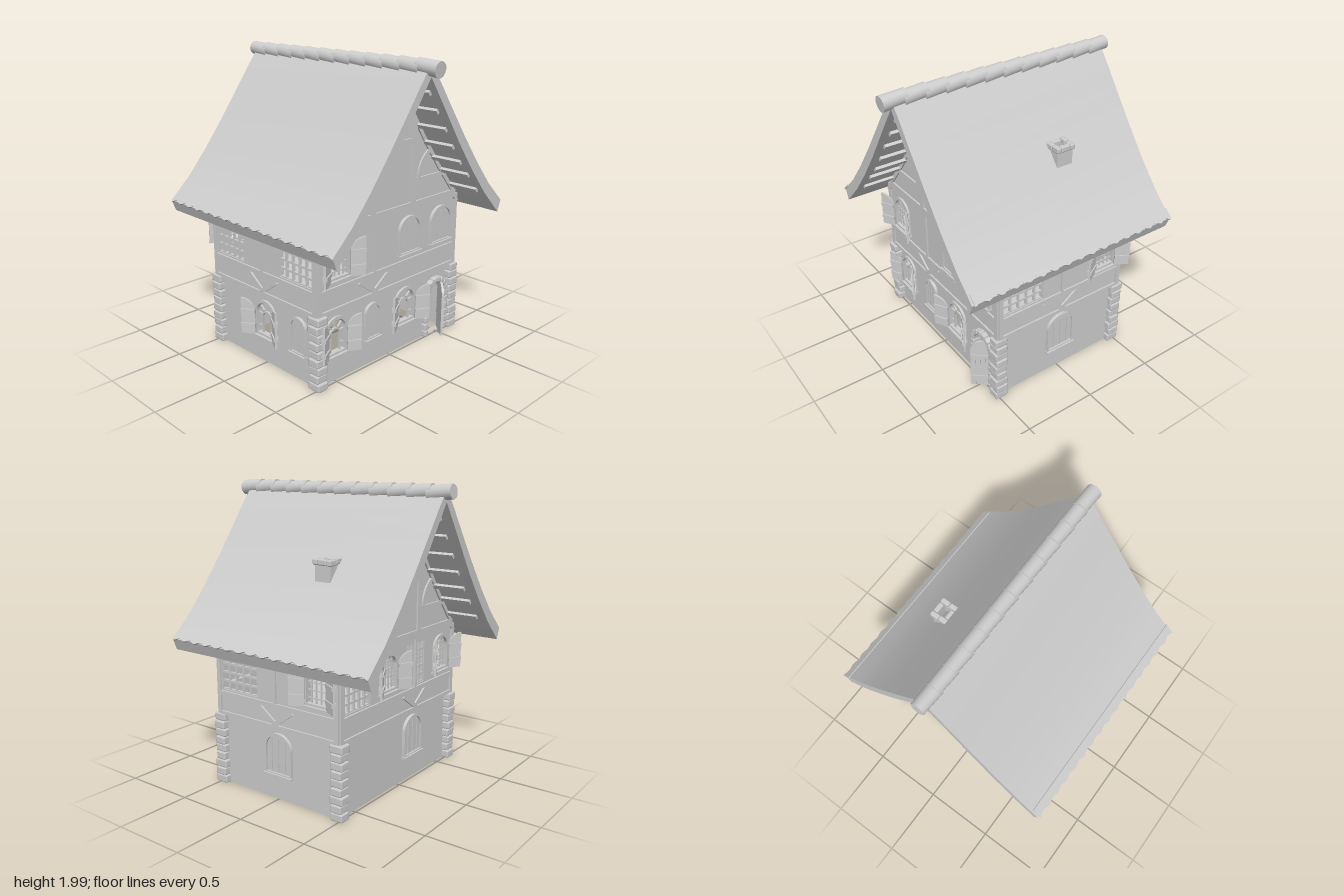
import * as THREE from 'three';
import { toCreasedNormals } from 'three/addons/utils/BufferGeometryUtils.js';
import { RoundedBoxGeometry } from 'three/addons/geometries/RoundedBoxGeometry.js';

const plaster = new THREE.MeshStandardMaterial({ color: 0xcccccc });
plaster.name = 'pale grey';

let seed = 7;
const rnd = () => (seed = (seed * 16807) % 2147483647) / 2147483647;

function add(parent, name, geo, x = 0, y = 0, z = 0) {
  const m = new THREE.Mesh(geo, plaster);
  m.name = name;
  m.position.set(x, y, z);
  parent.add(m);
  return m;
}
function group(parent, name, x = 0, y = 0, z = 0) {
  const g = new THREE.Group();
  g.name = name;
  g.position.set(x, y, z);
  parent.add(g);
  return g;
}
const box = (parent, name, w, h, d, x, y, z) => add(parent, name, new THREE.BoxGeometry(w, h, d), x, y, z);
const stone = (parent, name, w, h, d, x, y, z) =>
  add(parent, name, new RoundedBoxGeometry(w, h, d, 1, 0.01), x, y, z);
const extrude = (shape, depth) => toCreasedNormals(
  new THREE.ExtrudeGeometry(shape, { depth, bevelEnabled: false, curveSegments: 10 }), 0.6);
const poly = pts => new THREE.Shape(pts.map(p => new THREE.Vector2(...p)));
const rect = (x, y, w, h) => poly([[x - w / 2, y], [x + w / 2, y], [x + w / 2, y + h], [x - w / 2, y + h]]);

// Arched outline: bottom centre at (x, y), elliptical top of the given rise
function arch(x, y, w, h, rise = w * 0.45) {
  const s = new THREE.Shape();
  s.moveTo(x - w / 2, y);
  s.lineTo(x + w / 2, y);
  s.lineTo(x + w / 2, y + h - rise);
  s.absellipse(x, y + h - rise, w / 2, rise, 0, Math.PI, false);
  s.closePath();
  return s;
}
function archRing(x, y, w, h, t) {
  const s = arch(x, y, w, h);
  s.holes.push(arch(x, y + t, w - 2 * t, h - 2 * t));
  return s;
}
// Timber laid on a wall between two points
function beam(parent, x1, y1, x2, y2, w = 0.035) {
  const m = box(parent, 'beam', Math.hypot(x2 - x1, y2 - y1), w, 0.02, (x1 + x2) / 2, (y1 + y2) / 2, 0.002);
  m.rotation.z = Math.atan2(y2 - y1, x2 - x1);
}
function wall(parent, outline, holes, name) {
  outline.holes.push(...holes);
  add(parent, name, extrude(outline, 0.04), 0, 0, -0.04);
}

// Closed plank shutters on a sill
function closedWindow(p, x, y, w, h) {
  const g = group(p, 'closedShutters', x, y, 0);
  add(g, 'frame', extrude(archRing(0, 0, w, h, 0.014), 0.03), 0, 0, -0.008);
  add(g, 'planks', extrude(arch(0, 0.01, w - 0.02, h - 0.02), 0.02), 0, 0, -0.01);
  for (const k of [-0.5, 0, 0.5])
    box(g, 'plankJoint', 0.006, h * 0.8, 0.012, k * w * 0.5, h * 0.46, 0.01);
  box(g, 'sill', w + 0.01, 0.012, 0.045, 0, 0, 0.012);
}
// Glazing bars, frame and two swung-out shutters
function openWindow(p, x, y, w, h, grid) {
  const g = group(p, 'openWindow', x, y, 0);
  add(g, 'frame', extrude(archRing(0, 0, w + 0.02, h + 0.01, 0.02), 0.04), 0, 0, -0.025);
  if (grid) {
    for (const k of [-0.3, -0.1, 0.1, 0.3]) box(g, 'bar', 0.008, h * (0.98 - k * k), 0.01, k * w, h * 0.48, -0.01);
    for (const k of [0.2, 0.4, 0.6, 0.8]) box(g, 'bar', w * (k > 0.7 ? 0.72 : 1), 0.008, 0.01, 0, h * k, -0.01);
  } else {
    add(g, 'innerArch', extrude(archRing(0, 0, w * 0.55, h * 0.72, 0.012), 0.014), 0, 0, -0.015);
    for (const a of [0.1, 0.8, 1.57, 2.34, 3.04]) {
      const s = box(g, 'spoke', w * 0.26, 0.01, 0.012, Math.cos(a) * w * 0.38, h * 0.58 + Math.sin(a) * h * 0.25, -0.01);
      s.rotation.z = a;
    }
    for (const s of [-1, 1]) box(g, 'bar', w * 0.24, 0.01, 0.012, s * w * 0.39, h * 0.25, -0.01);
  }
  box(g, 'sill', w + 0.04, 0.014, 0.045, 0, 0, 0.012);
  for (const s of [-1, 1]) {
    const leaf = group(g, 'openShutter', s * w / 2, 0, 0.015);
    leaf.rotation.y = -s * 0.5;
    const lw = w * 0.55;
    const half = new THREE.Shape();
    half.moveTo(0, 0);
    half.lineTo(s * lw, 0);
    half.lineTo(s * lw, h);
    half.quadraticCurveTo(s * lw * 0.25, h * 0.98, 0, h * 0.7);
    add(leaf, 'leaf', extrude(half, 0.014));
    for (const k of [0.25, 0.65]) box(leaf, 'batten', lw, 0.025, 0.03, s * lw / 2, h * k, 0.007);
  }
}
// Square lattice window
function lattice(p, x, y, w, h) {
  const g = group(p, 'lattice', x, y, -0.015);
  for (let i = 0; i <= 5; i++) {
    box(g, 'bar', 0.014, h, 0.016, (i / 5 - 0.5) * w, h / 2, 0);
    box(g, 'bar', w, 0.014, 0.016, 0, i / 5 * h, 0);
  }
}

const GX = 0.645, GZ = 0.48, UX = 0.665, UZ = 0.5;
// Windows per side: c = closed, o = open, l = lattice, in wall coordinates
const SIDES = [
  { name: 'front', turn: 0, w: UX, d: UZ, gw: GX, gd: GZ, post: -0.165,
    low: [['o', -0.49, 0.18, 0.17, 0.25], ['c', -0.165, 0.18, 0.14, 0.25], ['o', 0.16, 0.18, 0.19, 0.25]],
    high: [['o', -0.49, 0.69, 0.18, 0.25], ['c', 0.16, 0.69, 0.21, 0.26], ['c', 0.485, 0.69, 0.22, 0.26]] },
  { name: 'right', turn: Math.PI / 2, w: UZ, d: UX, gw: GZ, gd: GX, post: 0,
    low: [['c', 0.01, 0.17, 0.22, 0.28]],
    high: [['l', -0.31, 0.66, 0.31, 0.29], ['o', 0.34, 0.69, 0.18, 0.25]] },
  { name: 'back', turn: Math.PI, w: UX, d: UZ, gw: GX, gd: GZ, post: 0.165,
    low: [['c', 0.165, 0.17, 0.22, 0.28]],
    high: [['l', -0.48, 0.66, 0.26, 0.29], ['o', -0.16, 0.69, 0.18, 0.25],
      ['l', 0.17, 0.66, 0.22, 0.29], ['o', 0.49, 0.69, 0.18, 0.25]] },
  { name: 'left', turn: -Math.PI / 2, w: UZ, d: UX, gw: GZ, gd: GX, post: 0,
    low: [['o', 0, 0.18, 0.18, 0.25], ['c', 0.32, 0.18, 0.14, 0.25]],
    high: [['l', -0.33, 0.66, 0.28, 0.29], ['l', 0.31, 0.66, 0.3, 0.29]] },
];
const hole = ([k, x, y, w, h]) => (k === 'l' ? rect(x, y, w, h) : arch(x, y, w * 0.97, h * 0.97));
const fit = (p, list) => list.forEach(([k, x, y, w, h]) => {
  if (k === 'c') closedWindow(p, x, y, w, h);
  else if (k === 'o') openWindow(p, x, y, w, h, y > 0.5);
  else lattice(p, x, y, w, h);
});

function gable(p) {
  const half = [[0.665, 0.98], [0.6, 1.09], [0.45, 1.27], [0.3, 1.47], [0.15, 1.69]];
  const mirror = half.map(([x, y]) => [-x, y]).reverse();
  add(p, 'gableWall', extrude(poly([...half, [0, 1.91], ...mirror]), 0.04), 0, 0, -0.04);
  beam(p, -0.64, 1.01, 0.64, 1.01, 0.05);
  beam(p, -0.24, 1.615, 0.24, 1.615, 0.045);
  beam(p, -0.17, 1.45, 0.17, 1.45, 0.022);
  beam(p, 0, 1.63, 0, 1.88, 0.02);
  for (const s of [-1, 1]) {
    beam(p, s * 0.193, 1.02, s * 0.193, 1.62, 0.045);
    beam(p, s * 0.2, 1.175, s * 0.53, 1.175, 0.028);
    const brace = new THREE.Shape();
    brace.absarc(0, 0, 0.2, 0, Math.PI / 2, false);
    brace.absarc(0, 0, 0.175, Math.PI / 2, 0, true);
    const b = add(p, 'curvedBrace', extrude(brace, 0.012), s * 0.43, 1.185, 0);
    if (s > 0) b.rotation.y = Math.PI, b.position.z = 0.012;
    for (let i = 0; i < 4; i++) beam(p, s * half[i][0], half[i][1] - 0.04, s * half[i + 1][0], half[i + 1][1] - 0.04, 0.03);
    beam(p, s * 0.15, 1.65, 0, 1.87, 0.03);
    // Roof battens under the overhang
    for (const [x, y] of [[0.05, 1.78], [0.13, 1.66], [0.22, 1.535], [0.3, 1.415], [0.385, 1.3], [0.475, 1.2], [0.58, 1.08]])
      box(p, 'roofBatten', 0.032, 0.02, 0.24, s * x, y, 0.11).rotation.z = -s * 0.9;
  }
}

function doorway(p) {
  const g = group(p, 'doorway', 0.48, 0, 0);
  for (const s of [-1, 1]) for (let i = 0; i < 6; i++)
    stone(g, 'jambStone', 0.036 + rnd() * 0.012, 0.05, 0.07, s * 0.102, 0.026 + i * 0.051, 0);
  for (let i = 0; i < 8; i++) {
    const a = (i + 0.5) * Math.PI / 8;
    stone(g, 'archStone', 0.04, 0.045, 0.07, Math.cos(a) * 0.103, 0.305 + Math.sin(a) * 0.1, 0).rotation.z = a;
  }
  const leaf = group(g, 'door', 0.083, 0, -0.03);
  leaf.rotation.y = 0.85;
  add(leaf, 'doorLeaf', extrude(arch(-0.083, 0.005, 0.164, 0.375, 0.08), 0.016));
  for (const k of [1, 2, 3, 4]) box(leaf, 'plankJoint', 0.005, 0.3, 0.004, -k * 0.033, 0.16, 0.017);
  for (const y of [0.08, 0.26]) box(leaf, 'hinge', 0.15, 0.016, 0.006, -0.08, y, 0.018);
  add(leaf, 'handle', new THREE.TorusGeometry(0.014, 0.004, 6, 12), -0.03, 0.16, 0.022);
}

function roof(p) {
  const outer = [[0.1, 1.835], [0.2, 1.695], [0.35, 1.49], [0.5, 1.295], [0.65, 1.12], [0.8, 0.978]];
  const inner = [[0.77, 0.9], [0.6, 1.07], [0.45, 1.25], [0.3, 1.45], [0.15, 1.67]];
  const flip = a => a.map(([x, y]) => [-x, y]).reverse();
  const s = poly([...flip(outer), [0, 1.965], ...outer, ...inner, [0, 1.885], ...flip(inner)]);
  add(p, 'roofShell', extrude(s, 1.57), 0, 0, -0.795);
  // Scalloped last course of tiles
  const wave = new THREE.Shape();
  wave.moveTo(0, -0.79);
  for (let i = 0; i <= 128; i++) wave.lineTo(0.072 + 0.008 * Math.cos(i / 8 * Math.PI * 2), -0.79 + i / 128 * 1.56);
  wave.lineTo(0, 0.77);
  const geo = extrude(wave, 0.012).rotateX(Math.PI / 2);
  for (const k of [1, -1]) {
    const side = group(p, 'eaves');
    side.rotation.y = k > 0 ? 0 : Math.PI;
    add(side, 'eaveTiles', geo, 0.753, 1.031, k > 0 ? -0.01 : 0.01).rotation.z = -0.76;
  }
  for (let i = 0; i < 12; i++) {
    const t = add(p, 'ridgeTile', new THREE.CylinderGeometry(0.046, 0.051, 0.165, 16).rotateX(-Math.PI / 2),
      0, 1.94, -0.758 + i * 0.1378);
    t.rotation.x = 0.1;
  }
}

function chimney(p) {
  const g = group(p, 'chimney', 0.37, 0, -0.185);
  const shaft = rect(0, -0.06, 0.1, 0.12);
  shaft.holes.push(rect(0, -0.035, 0.06, 0.07));
  add(g, 'shaft', extrude(shaft, 0.16).rotateX(-Math.PI / 2), 0, 1.35, 0);
  for (const s of [-1, 1]) {
    for (const x of [-0.032, 0.032]) stone(g, 'capStone', 0.064, 0.04, 0.036, x, 1.518 + rnd() * 0.008, s * 0.053);
    stone(g, 'capStone', 0.036, 0.04, 0.07, s * 0.044, 1.52, 0);
  }
}

export function createModel() {
  const house = new THREE.Group();
  house.name = 'house';
  for (const s of SIDES) {
    const side = group(house, s.name + 'Side');
    side.rotation.y = s.turn;
    const low = group(side, 'groundFloor', 0, 0, s.gd), high = group(side, 'upperFloor', 0, 0, s.d);
    const holes = s.low.map(hole);
    if (s.name === 'front') holes.push(arch(0.48, 0.001, 0.17, 0.385, 0.085));
    wall(low, rect(0, 0, 2 * s.gw, 0.5), holes, 'groundWall');
    wall(high, rect(0, 0.49, 2 * s.w, 0.51), s.high.map(hole), 'upperWall');
    fit(low, s.low);
    fit(high, s.high);
    // Timber frame of the upper floor
    const e = s.w - 0.015;
    for (const [y, w] of [[0.498, 0.024], [0.633, 0.032]]) beam(high, -e, y, e, y, w);
    beam(high, -e, 0.99, e, 0.99, 0.02);
    for (const x of [-e, e]) beam(high, x, 0.49, x, 1, 0.03);
    beam(high, s.post, 0.63, s.post, 1, 0.02);
    for (const k of [-1, 1]) beam(high, s.post + k * 0.14, 0.615, s.post, 0.515, 0.03);
    if (s.d === UZ) gable(high);
    if (s.name === 'front') doorway(low);
  }
  box(house, 'upperFloorBoards', 1.3, 0.02, 0.97, 0, 0.5, 0);
  // Corner stones
  for (const x of [-1, 1]) for (const z of [-1, 1]) for (let i = 0; i < 9; i++) {
    const o = i % 2 ? 0.012 : 0, w = 0.075 + rnd() * 0.012;
    stone(house, 'cornerStone', w + o, 0.053, w + 0.012 - o, x * (GX - 0.002), 0.027 + i * 0.0545, z * (GZ + 0.004));
  }
  roof(house);
  chimney(house);
  return house;
}
